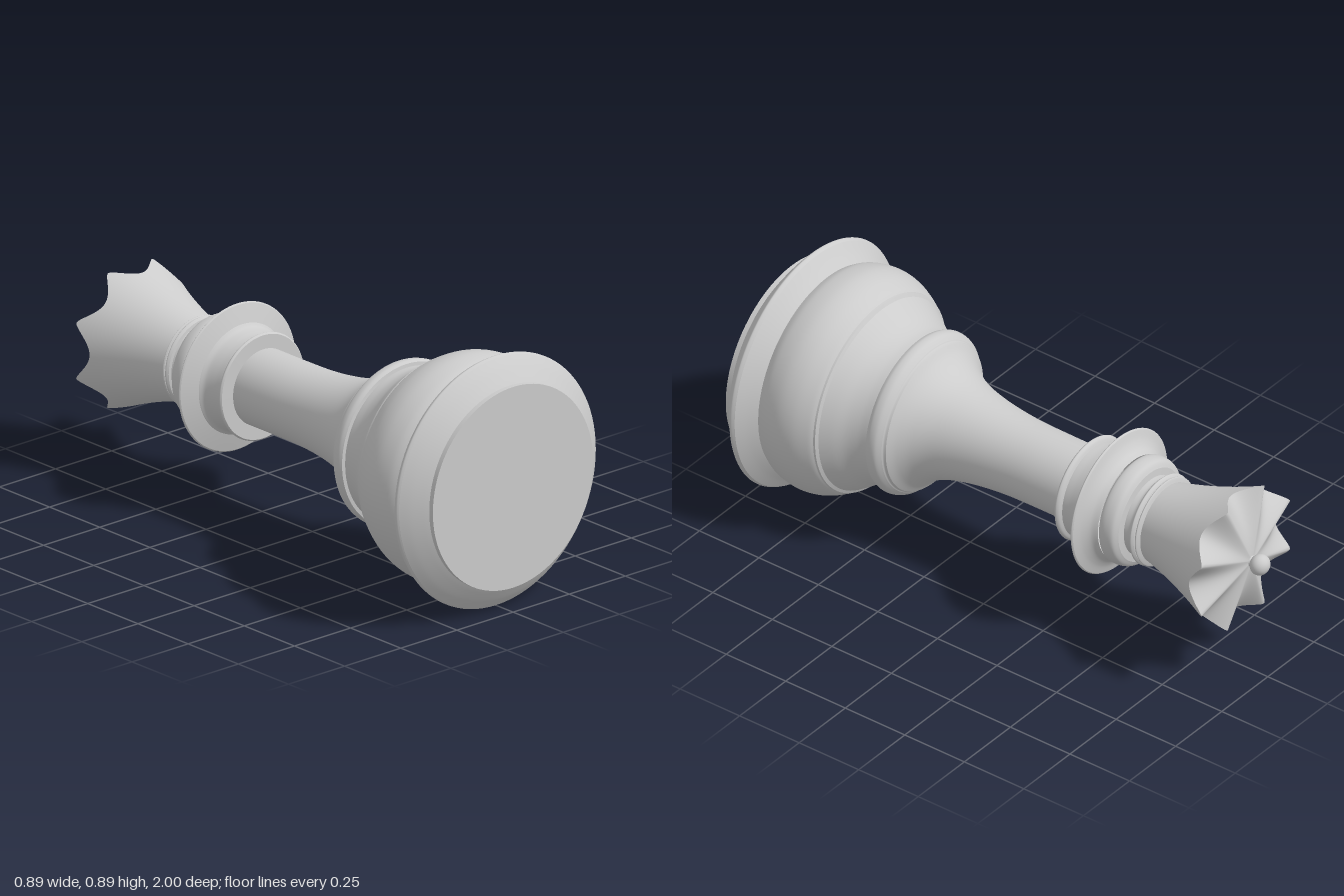
import * as THREE from 'three';
import { mergeVertices } from 'three/addons/utils/BufferGeometryUtils.js';

const SEGMENTS = 96;
const material = new THREE.MeshStandardMaterial({ color: 0xcccccc, side: THREE.DoubleSide });
const toPoints = (pairs) => pairs.map(([r, h]) => new THREE.Vector2(r, h));

// One smooth turned surface through the given [radius, height] points
function turn(pairs) {
  const pts = toPoints(pairs);
  const profile = pts.length > 2 ? new THREE.SplineCurve(pts).getPoints(pts.length * 5) : pts;
  return new THREE.LatheGeometry(profile, SEGMENTS);
}

// A part made of several runs, with a sharp edge where one run meets the next
function turnedPart(name, runs) {
  const part = new THREE.Group();
  part.name = name;
  runs.forEach((run, i) => {
    const mesh = new THREE.Mesh(turn(run), material);
    mesh.name = `${name}Surface${i + 1}`;
    part.add(mesh);
  });
  return part;
}

// Crown: eight points with rounded scallops between them
const CROWN_BASE = 1.575, CROWN_TIP = 1.908, SCALLOP = 0.065;
const scallop = (a) => Math.sqrt(Math.cos(4 * a) ** 2 + 0.01) - 0.1;
const rimHeight = (a) => CROWN_TIP - SCALLOP * scallop(a);
const crownRadius = (h) => {
  const t = (h - CROWN_BASE) / (CROWN_TIP - CROWN_BASE);
  return 0.143 + 0.075 * t + 0.042 * t * t;
};

// Grid around the axis; place(t, angle) gives [radius, height]
function ringGrid(rows, place) {
  const geo = new THREE.LatheGeometry(
    Array.from({ length: rows + 1 }, (_, i) => new THREE.Vector2(1, i / rows)), 192);
  const pos = geo.attributes.position;
  for (let i = 0; i < pos.count; i++) {
    const a = Math.atan2(pos.getX(i), pos.getZ(i));
    const [r, h] = place(pos.getY(i), a);
    pos.setXYZ(i, r * Math.sin(a), h, r * Math.cos(a));
  }
  geo.deleteAttribute('uv');
  geo.deleteAttribute('normal');
  const welded = mergeVertices(geo, 1e-5);
  welded.computeVertexNormals();
  return welded;
}

function makeCrown() {
  const crown = new THREE.Group();
  crown.name = 'crown';
  const wall = new THREE.Mesh(ringGrid(16, (t, a) => {
    const h = CROWN_BASE + t * (rimHeight(a) - CROWN_BASE);
    return [crownRadius(h), h];
  }), material);
  wall.name = 'crownWall';
  // The scallops fade out towards the middle of the cap
  const cap = new THREE.Mesh(ringGrid(16, (t, a) => {
    const s = 1 - t;
    const tipLine = 1.935 - (1.935 - CROWN_TIP) * s;
    return [s * crownRadius(rimHeight(a)), tipLine - SCALLOP * scallop(a) * s ** 2.2];
  }), material);
  cap.name = 'crownCap';
  const ball = new THREE.Mesh(new THREE.SphereGeometry(0.037, 32, 20), material);
  ball.name = 'finialBall';
  ball.scale.y = 0.9;
  ball.position.y = 1.967;
  const stem = turnedPart('finialStem', [[[0.03, 1.925], [0.018, 1.934], [0.016, 1.945]]]);
  crown.add(wall, cap, ball, stem);
  return crown;
}

export function createModel() {
  const model = new THREE.Group();
  model.name = 'chessPiece';

  // Everything is turned upright, then laid down with its foot to the front
  const piece = new THREE.Group();
  piece.name = 'turnedPiece';
  piece.rotation.x = -Math.PI / 2;
  piece.position.set(0, 0.445, 1);

  piece.add(
    turnedPart('foot', [
      [[0, 0], [0.357, 0]],
      [[0.357, 0], [0.357, 0.018]],
      [[0.357, 0.018], [0.375, 0.03], [0.41, 0.055], [0.438, 0.078]],
      [[0.438, 0.078], [0.444, 0.087], [0.438, 0.1]],
      [[0.438, 0.1], [0.405, 0.125], [0.375, 0.15]],
    ]),
    turnedPart('bulge', [
      [[0.375, 0.15], [0.393, 0.185], [0.402, 0.245], [0.393, 0.3], [0.37, 0.35], [0.357, 0.367]],
      [[0.357, 0.367], [0.356, 0.374]],
      [[0.356, 0.374], [0.345, 0.38]],
      [[0.345, 0.38], [0.322, 0.415], [0.295, 0.455], [0.279, 0.495], [0.274, 0.53]],
    ]),
    turnedPart('lowerRing', [
      [[0.274, 0.53], [0.286, 0.532]],
      [[0.286, 0.532], [0.292, 0.548], [0.288, 0.57], [0.272, 0.588]],
      [[0.272, 0.588], [0.267, 0.592], [0.264, 0.6]],
    ]),
    turnedPart('stem', [
      [[0.264, 0.6], [0.236, 0.622], [0.205, 0.66], [0.178, 0.715], [0.158, 0.79],
        [0.144, 0.88], [0.136, 0.98], [0.134, 1.1], [0.134, 1.245]],
    ]),
    turnedPart('collar', [
      [[0.134, 1.245], [0.183, 1.246]],
      [[0.183, 1.246], [0.188, 1.253], [0.182, 1.262], [0.17, 1.268]],
      [[0.17, 1.268], [0.172, 1.3], [0.18, 1.335], [0.193, 1.35]],
      [[0.193, 1.35], [0.225, 1.36], [0.256, 1.37]],
      [[0.256, 1.37], [0.26, 1.375], [0.256, 1.38]],
      [[0.256, 1.38], [0.225, 1.392], [0.2, 1.41], [0.188, 1.432]],
    ]),
    turnedPart('upperRing', [
      [[0.182, 1.432], [0.193, 1.443], [0.195, 1.465], [0.188, 1.49], [0.168, 1.503]],
      [[0.168, 1.503], [0.143, 1.506]],
    ]),
    turnedPart('neck', [
      [[0.143, 1.506], [0.142, 1.525], [0.147, 1.538]],
      [[0.147, 1.538], [0.157, 1.54]],
      [[0.157, 1.54], [0.164, 1.549], [0.156, 1.557]],
      [[0.156, 1.557], [0.15, 1.56], [0.157, 1.563]],
      [[0.157, 1.563], [0.159, 1.569], [0.143, 1.575]],
    ]),
    makeCrown(),
  );

  model.add(piece);
  return model;
}
